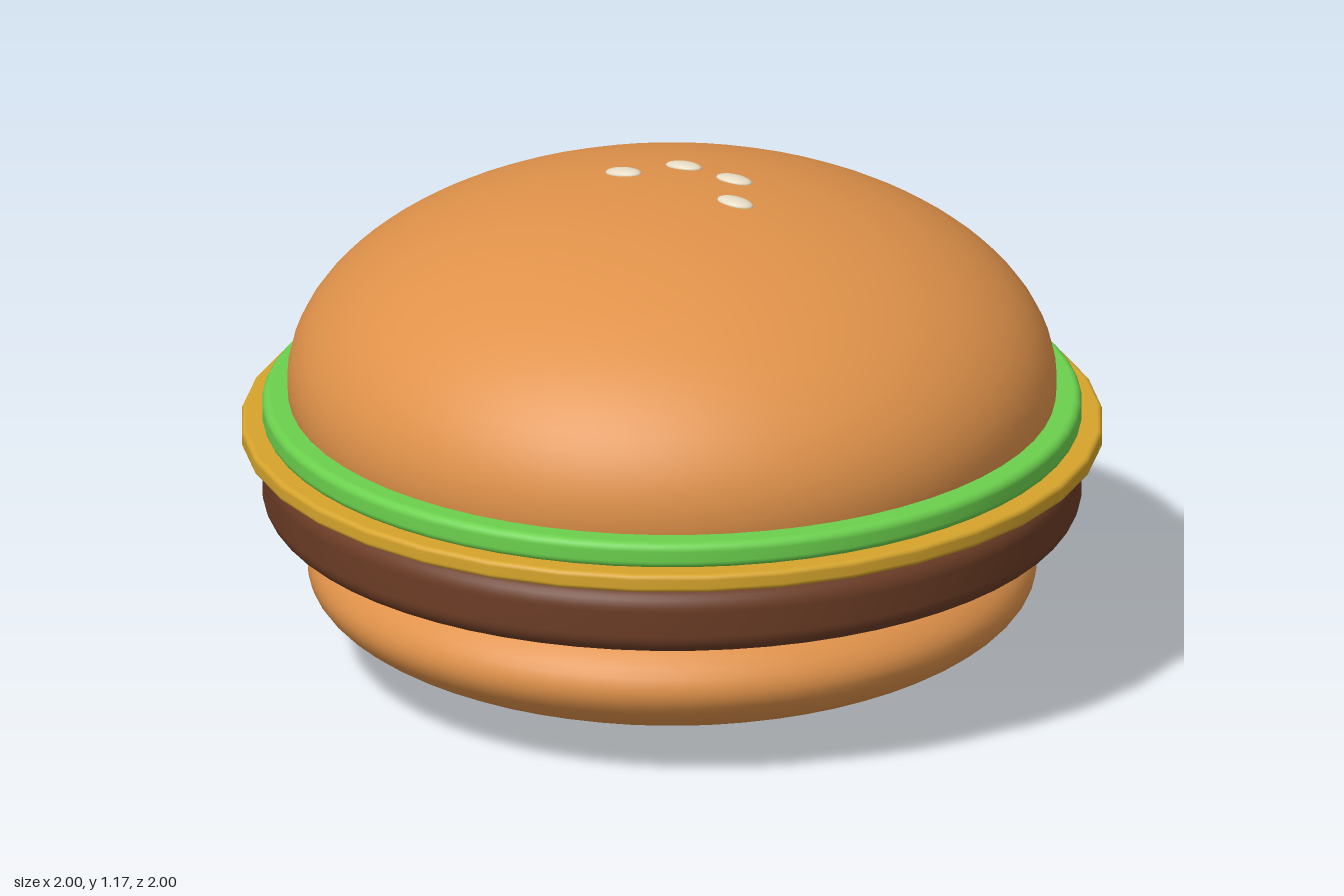
import * as THREE from 'three';

const paint = (name, color) => {
  const m = new THREE.MeshStandardMaterial({ color });
  m.name = name;
  return m;
};

// Solid disc with rounded rims, from y0 to y1
function roundedDisc(radius, y0, y1, rx, ry, segments) {
  const points = [new THREE.Vector2(0, y0)];
  const steps = 8;
  for (const [cy, start] of [[y0 + ry, -Math.PI / 2], [y1 - ry, 0]]) {
    for (let i = 0; i <= steps; i++) {
      const a = start + (i / steps) * Math.PI / 2;
      points.push(new THREE.Vector2(radius - rx + rx * Math.cos(a), cy + ry * Math.sin(a)));
    }
  }
  points.push(new THREE.Vector2(0, y1));
  return new THREE.LatheGeometry(points, segments);
}

export function createModel() {
  const burger = new THREE.Group();
  burger.name = 'burger';

  const bun = paint('toasted bun', 0xe0924a);
  const meat = paint('grilled meat', 0x6b3c25);
  const cheeseYellow = paint('cheese yellow', 0xd6a42c);
  const lettuceGreen = paint('lettuce green', 0x6bd04d);
  const seedCream = paint('seed cream', 0xe6dcc4);

  const add = (name, geometry, material) => {
    const mesh = new THREE.Mesh(geometry, material);
    mesh.name = name;
    burger.add(mesh);
    return mesh;
  };
  const ellipsoid = (rx, ry, rz, w, h) => new THREE.SphereGeometry(1, w, h).scale(rx, ry, rz);

  // Buns are flattened spheres that run into the filling
  add('bottomBun', ellipsoid(0.845, 0.235, 0.845, 64, 40), bun).position.y = 0.237;
  add('topBun', ellipsoid(0.892, 0.475, 0.892, 64, 40), bun).position.y = 0.69;

  // Filling layers
  add('patty', roundedDisc(0.95, 0.375, 0.535, 0.05, 0.05, 64), meat);
  add('cheese', roundedDisc(1, 0.553, 0.597, 0.012, 0.012, 36), cheeseYellow);
  add('lettuce', roundedDisc(0.95, 0.592, 0.656, 0.02, 0.02, 64), lettuceGreen);

  // Sesame seeds lying on the crown, tilted to its slope
  const seed = ellipsoid(0.045, 0.012, 0.026, 20, 12);
  const up = new THREE.Vector3(0, 1, 0);
  for (const [x, z] of [[-0.155, -0.065], [-0.045, -0.16], [0.097, -0.132], [0.16, -0.004]]) {
    const rise = 0.475 * Math.sqrt(1 - (x * x + z * z) / 0.892 ** 2);
    const normal = new THREE.Vector3(x / 0.892 ** 2, rise / 0.475 ** 2, z / 0.892 ** 2).normalize();
    const mesh = add('sesameSeed', seed, seedCream);
    mesh.position.set(x, 0.69 + rise, z);
    mesh.quaternion.setFromUnitVectors(up, normal);
  }
  return burger;
}
